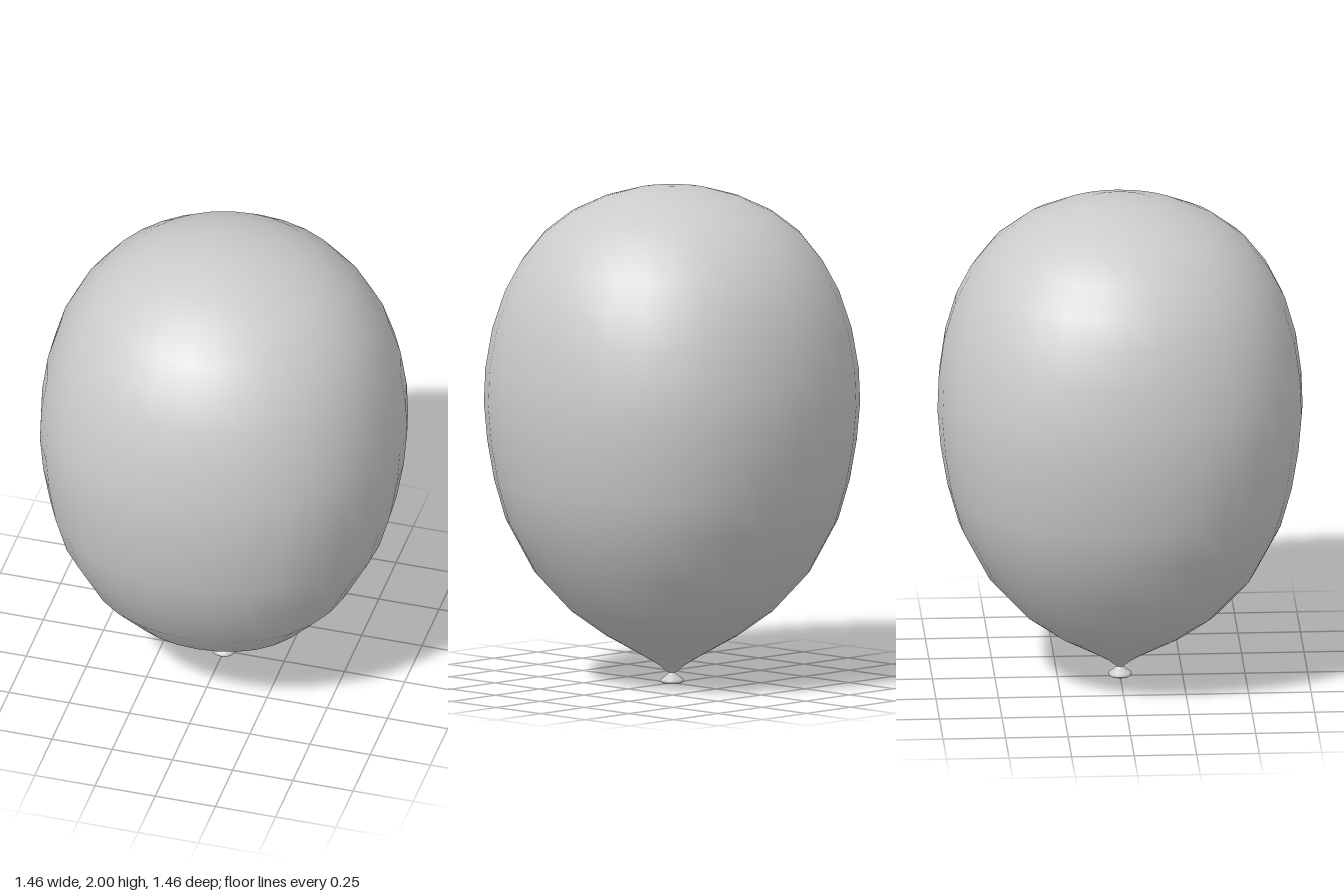
import * as THREE from 'three';
import { mergeVertices } from 'three/addons/utils/BufferGeometryUtils.js';

const SIDES = 32;

// Revolve a profile, then swell it slightly along the diagonals (a soft, squarish section
// that fades to a circle towards the crown).
function softLathe(profile) {
  let geo = new THREE.LatheGeometry(profile.map(([r, y]) => new THREE.Vector2(r, y)), SIDES);
  const pos = geo.attributes.position;
  for (let i = 0; i < pos.count; i++) {
    const x = pos.getX(i), y = pos.getY(i), z = pos.getZ(i);
    const a = Math.atan2(x, z);
    const fade = 1 - THREE.MathUtils.smoothstep(y, 1.2, 1.85);
    const r = Math.hypot(x, z) * (1 + 0.029 * fade * Math.sin(2 * a) ** 2);
    const b = a + 0.0106 * Math.sin(4 * a);
    pos.setXYZ(i, r * Math.sin(b), y, r * Math.cos(b));
  }
  // Weld the seam and poles so the shading is smooth all round
  geo.deleteAttribute('uv');
  geo.deleteAttribute('normal');
  geo = mergeVertices(geo, 1e-5);
  geo.computeVertexNormals();
  return geo;
}

export function createModel() {
  const group = new THREE.Group();
  group.name = 'balloon';
  const material = new THREE.MeshStandardMaterial({ color: 0xcccccc, side: THREE.DoubleSide });

  const add = (name, profile) => {
    const mesh = new THREE.Mesh(softLathe(profile), material);
    mesh.name = name;
    group.add(mesh);
  };

  // Inflated body, from the neck up to the crown
  add('body', [
    [0.014, 0.042], [0.05, 0.072], [0.11, 0.11], [0.265, 0.2], [0.4, 0.3],
    [0.535, 0.45], [0.645, 0.66], [0.69, 0.82], [0.717, 0.98], [0.73, 1.13],
    [0.725, 1.27], [0.703, 1.43], [0.66, 1.58], [0.6, 1.7], [0.515, 1.81],
    [0.405, 1.895], [0.28, 1.953], [0.147, 1.99], [0, 2],
  ]);

  // Tied knot: pinched neck flaring to a small rolled lip
  add('knot', [
    [0, 0.004], [0.025, 0.001], [0.036, 0], [0.045, 0.005], [0.047, 0.012],
    [0.04, 0.018], [0.026, 0.029], [0.015, 0.039], [0.014, 0.045],
  ]);

  return group;
}
